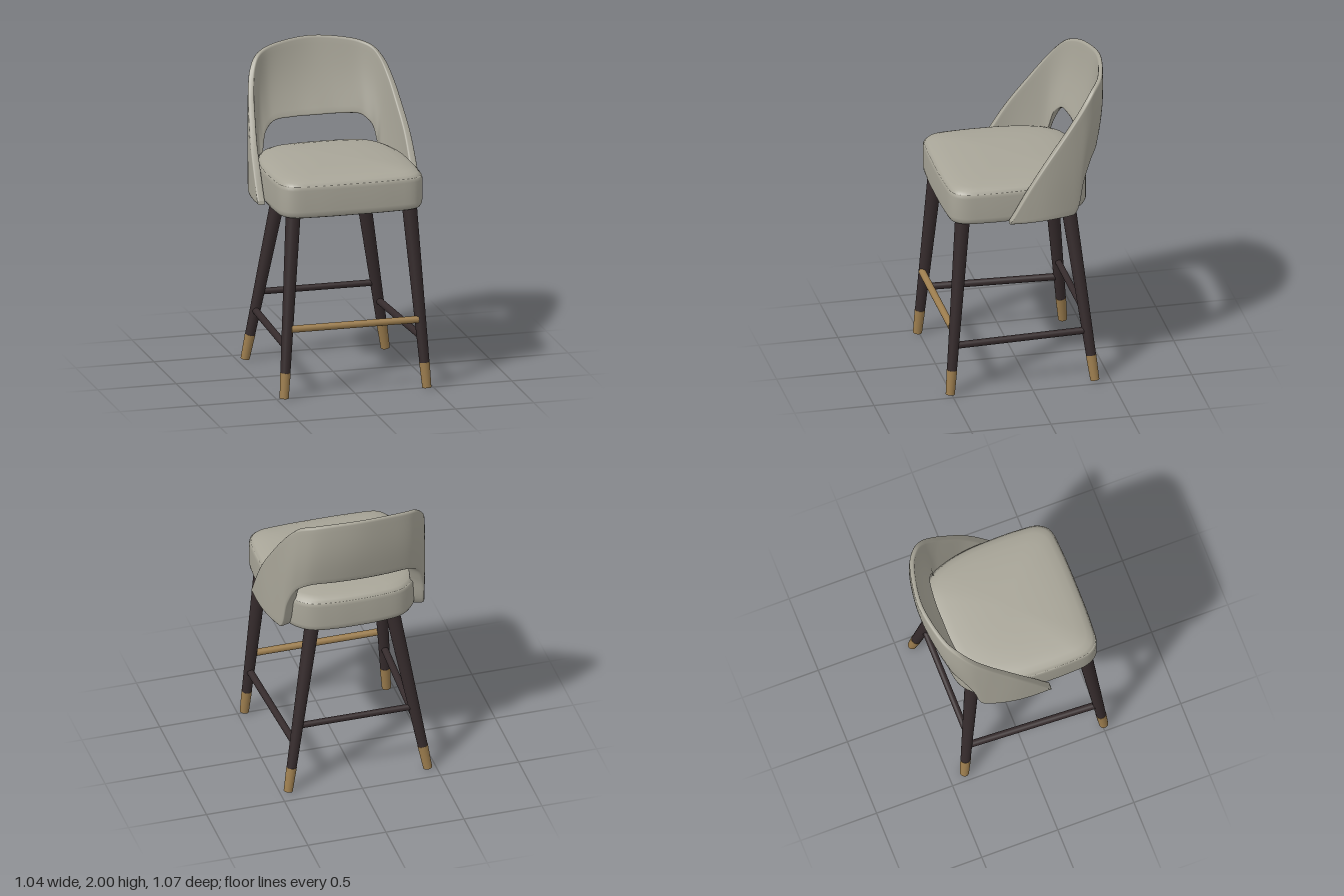
import * as THREE from 'three';

const V = (x, y, z) => new THREE.Vector3(x, y, z);

// Skin a grid of rings (arrays of closed loops) into a smooth surface
function skin(rings, capEnds) {
  const n = rings[0].length, index = [];
  for (let j = 0; j < rings.length - 1; j++) {
    for (let i = 0; i < n; i++) {
      const k = (i + 1) % n;
      const a = j * n + i, b = j * n + k, c = a + n, d = b + n;
      index.push(a, b, c, b, d, c);
    }
  }
  const points = rings.flat();
  if (capEnds) {
    const start = points.length;
    points.push(...rings[0].map(p => p.clone()), ...rings[rings.length - 1].map(p => p.clone()));
    for (let i = 1; i < n - 1; i++) {
      index.push(start, start + i + 1, start + i);
      index.push(start + n, start + n + i, start + n + i + 1);
    }
  }
  const g = new THREE.BufferGeometry().setFromPoints(points);
  g.setIndex(index);
  g.computeVertexNormals();
  return g;
}

// Cushion: rounded plan outline stacked in scaled rings, with a seam and a crown
function seatGeometry() {
  const half = [[0, 0.51], [0.25, 0.505], [0.4, 0.485], [0.45, 0.425], [0.466, 0.3], [0.467, 0.1],
    [0.458, -0.05], [0.427, -0.2], [0.38, -0.305], [0.295, -0.378], [0.15, -0.405], [0, -0.41]];
  const full = [...half, ...half.slice(1, -1).reverse().map(([x, z]) => [-x, z])];
  const outline = new THREE.CatmullRomCurve3(full.map(([x, z]) => V(x, 0, z)), true).getPoints(96).slice(0, -1);
  const profile = [[0, 1.135], [0.94, 1.135], [0.975, 1.142], [0.993, 1.158], [1, 1.18], [1, 1.25], [1, 1.315],
    [0.994, 1.332], [0.985, 1.338], [0.981, 1.333], [0.976, 1.342], [0.95, 1.357], [0.88, 1.372],
    [0.75, 1.384], [0.55, 1.393], [0.3, 1.399], [0, 1.4]];
  return skin(profile.map(([s, y]) => outline.map(p => V(p.x * s, y, 0.05 + (p.z - 0.05) * s))), false);
}

// Wraparound back: cross-sections swept from the left tip round to the right tip
function backGeometry() {
  // rim point, lower edge point, thickness at lower edge and rim
  const half = [
    [[0.52, 1.165, 0.14], [0.52, 1.143, 0.145], [0.048, 0.045]],
    [[0.518, 1.335, 0.04], [0.52, 1.14, 0.03], [0.055, 0.045]],
    [[0.51, 1.485, -0.06], [0.512, 1.14, -0.08], [0.062, 0.042]],
    [[0.49, 1.63, -0.17], [0.492, 1.14, -0.18], [0.07, 0.04]],
    [[0.465, 1.765, -0.275], [0.46, 1.145, -0.28], [0.075, 0.037]],
    [[0.43, 1.87, -0.36], [0.435, 1.34, -0.335], [0.085, 0.034]],
    [[0.38, 1.935, -0.42], [0.395, 1.46, -0.385], [0.09, 0.03]],
    [[0.3, 1.967, -0.475], [0.32, 1.518, -0.437], [0.1, 0.028]],
    [[0.16, 1.99, -0.517], [0.165, 1.53, -0.468], [0.107, 0.026]],
    [[0, 2, -0.537], [0, 1.53, -0.475], [0.11, 0.025]],
  ];
  const curve = (k) => {
    const a = half.map(h => V(h[k][0], h[k][1], h[k][2] || 0));
    const b = half.slice(0, -1).reverse().map(h => V(k < 2 ? -h[k][0] : h[k][0], h[k][1], h[k][2] || 0));
    return new THREE.CatmullRomCurve3([...a, ...b]);
  };
  const rim = curve(0), low = curve(1), thick = curve(2);
  const steps = 108, rows = 14, rings = [];
  for (let i = 0; i <= steps; i++) {
    const u = i / steps;
    const t = rim.getTangent(u).setY(0).normalize();
    const inward = V(t.z, 0, -t.x);
    // sample by control point so rim and lower edge stay paired
    const top = rim.getPoint(u), bottom = low.getPoint(u), w = thick.getPoint(u);
    bottom.y = Math.max(bottom.y, 1.138);
    const e = Math.min(0.3, 0.014 / (top.y - bottom.y));
    const section = [[0, 0.2], [e * 0.3, 0.06]];
    for (let r = 0; r <= rows; r++) section.push([e + (1 - 2 * e) * r / rows, 0]);
    section.push([1 - e * 0.3, 0.06], [1, 0.25], [1, 0.75], [1 - e * 0.3, 0.94]);
    for (let r = rows; r >= 0; r--) section.push([e + (1 - 2 * e) * r / rows, 1]);
    section.push([e * 0.3, 0.94], [0, 0.8]);
    rings.push(section.reverse().map(([v, d]) => {
      const bulge = 0.018 * Math.sin(Math.PI * v) * Math.max(0, inward.z);
      const depth = d * THREE.MathUtils.lerp(w.x, w.y, v) - bulge;
      return bottom.clone().lerp(top, v).addScaledVector(inward, depth);
    }));
  }
  return skin(rings, true);
}

export function createModel() {
  const model = new THREE.Group();
  const fabric = new THREE.MeshStandardMaterial({ color: 0xa8a598 });
  fabric.name = 'greyUpholstery';
  const wood = new THREE.MeshStandardMaterial({ color: 0x352b2c });
  wood.name = 'darkWood';
  const brass = new THREE.MeshStandardMaterial({ color: 0x9c7d4e });
  brass.name = 'brass';

  const add = (name, geometry, material) => {
    const mesh = new THREE.Mesh(geometry, material);
    mesh.name = name;
    model.add(mesh);
    return mesh;
  };
  // Round rod between two points, radius ra at a and rb at b
  const rod = (name, a, b, ra, rb, material) => {
    const dir = b.clone().sub(a);
    const mesh = add(name, new THREE.CylinderGeometry(rb, ra, dir.length(), 24), material);
    mesh.position.copy(a).lerp(b, 0.5);
    mesh.quaternion.setFromUnitVectors(V(0, 1, 0), dir.normalize());
  };

  add('seatCushion', seatGeometry(), fabric);
  add('backShell', backGeometry(), fabric);

  // Splayed legs: foot and top centres for the left side, mirrored to the right
  const legs = {
    front: { foot: V(0.455, 0.004, 0.51), top: V(0.37, 1.16, 0.413) },
    back: { foot: V(0.447, 0.004, -0.402), top: V(0.25, 1.16, -0.272) },
  };
  const at = (leg, side, y) => {
    const { foot, top } = legs[leg];
    const p = foot.clone().lerp(top, (y - foot.y) / (top.y - foot.y));
    p.x *= side;
    return p;
  };
  for (const side of [1, -1]) {
    const label = side > 0 ? 'Left' : 'Right';
    for (const leg of ['front', 'back']) {
      rod(leg + label + 'Leg', at(leg, side, 0.16), at(leg, side, 1.16), 0.031, 0.046, wood);
      rod(leg + label + 'FootCap', at(leg, side, 0.004), at(leg, side, 0.163), 0.028, 0.0325, brass);
    }
    rod('side' + label + 'Stretcher', at('front', side, 0.32), at('back', side, 0.32), 0.022, 0.022, wood);
  }
  // Foot rest set on the fronts of the legs, and the back stretcher
  rod('footRest', V(-0.405, 0.437, 0.492), V(0.405, 0.437, 0.492), 0.022, 0.022, brass);
  rod('backStretcher', at('back', -1, 0.44), at('back', 1, 0.44), 0.02, 0.02, wood);

  return model;
}
